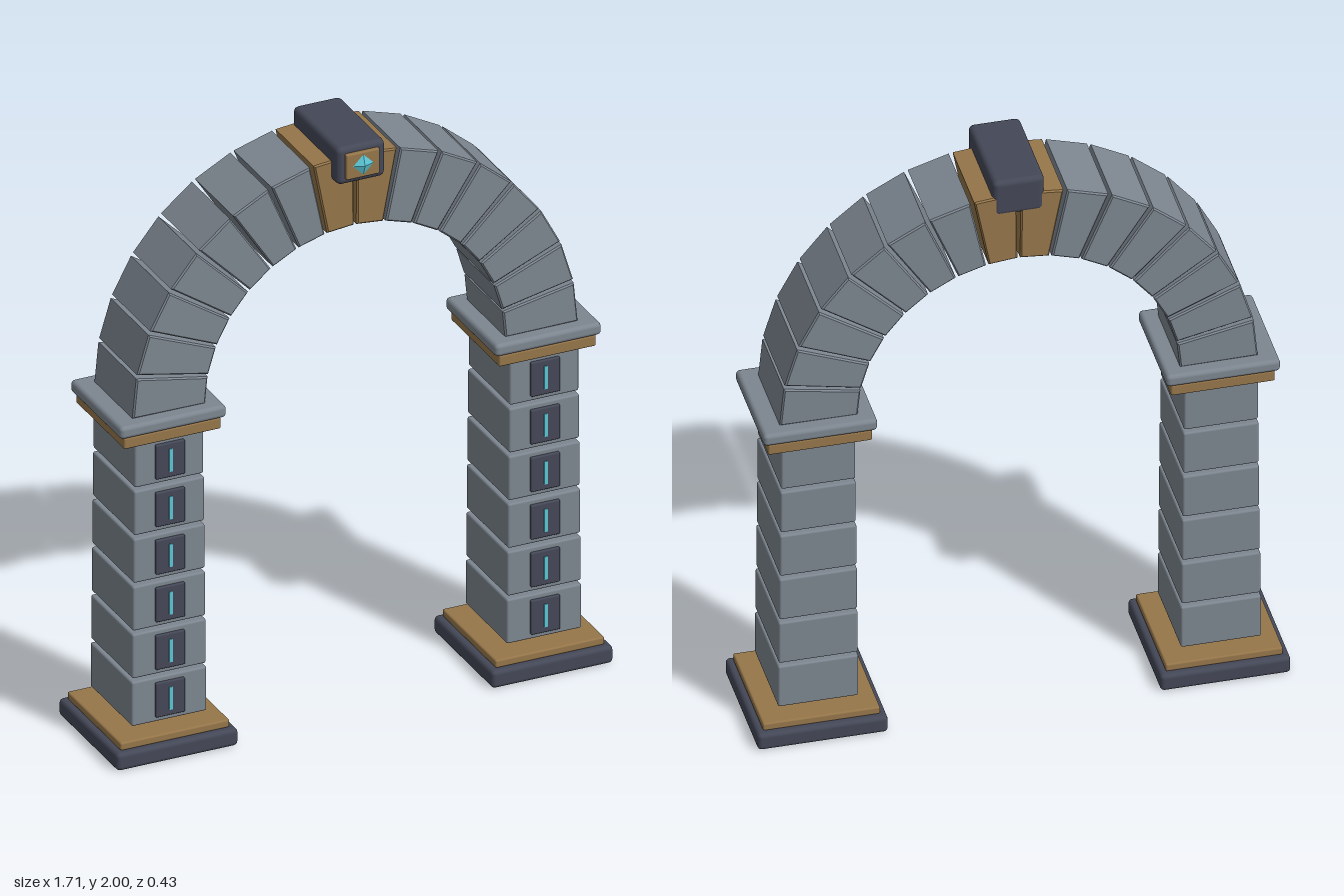
import * as THREE from 'three';
import { RoundedBoxGeometry } from 'three/addons/geometries/RoundedBoxGeometry.js';

const mat = (name, color) => new THREE.MeshStandardMaterial({ name, color });

export function createModel() {
  const stone = mat('stone grey', 0x7d8690);
  const dark = mat('dark slate', 0x444857);
  const bronze = mat('bronze', 0x96764a);
  const glow = mat('cyan glow', 0x5cc6d6);

  const model = new THREE.Group();
  model.name = 'archway';

  const add = (parent, name, geometry, material, x = 0, y = 0, z = 0) => {
    const mesh = new THREE.Mesh(geometry, material);
    mesh.name = name;
    mesh.position.set(x, y, z);
    parent.add(mesh);
    return mesh;
  };

  // Box with softened edges, placed by its bottom and top heights
  const slab = (parent, name, material, w, y0, y1, d, r, z = 0) =>
    add(parent, name, new RoundedBoxGeometry(w, y1 - y0, d, 2, r), material, 0, (y0 + y1) / 2, z);

  // Pillars: plinth, six tapering blocks with glowing panels, capital
  for (const [name, side] of [['leftPillar', 1], ['rightPillar', -1]]) {
    const pillar = new THREE.Group();
    pillar.name = name;
    pillar.position.x = side * 0.646;
    model.add(pillar);

    slab(pillar, 'plinth', dark, 0.418, 0, 0.06, 0.43, 0.014);
    slab(pillar, 'plinthTrim', bronze, 0.376, 0.06, 0.087, 0.388, 0.006);
    for (let i = 0; i < 6; i++) {
      const y = 0.112 + i * 0.1672;
      slab(pillar, 'pillarBlock', stone, 0.258 - i * 0.004, y, y + 0.155, 0.304, 0.007);
      slab(pillar, 'panel', dark, 0.1, y + 0.018, y + 0.138, 0.022, 0.004, 0.151);
      add(pillar, 'lightStrip', new THREE.BoxGeometry(0.011, 0.08, 0.006), glow, 0, y + 0.078, 0.162);
    }
    slab(pillar, 'capitalTrim', bronze, 0.334, 1.105, 1.144, 0.352, 0.006);
    slab(pillar, 'capital', stone, 0.366, 1.144, 1.187, 0.37, 0.014);
  }

  // Arch ring: sixteen wedge stones, the two at the crown in bronze
  const arch = new THREE.Group();
  arch.name = 'arch';
  arch.position.y = 1.18;
  model.add(arch);
  const count = 16, step = Math.PI / count, gap = 0.0085;
  const inner = 0.517, outer = 0.767, depth = 0.284, bevel = 0.005;
  for (let i = 0; i < count; i++) {
    const a0 = i * step + gap, a1 = (i + 1) * step - gap;
    const point = (r, a) => new THREE.Vector2(r * Math.cos(a), r * Math.sin(a));
    const wedge = new THREE.Shape([point(inner, a0), point(outer, a0), point(outer, a1), point(inner, a1)]);
    const geometry = new THREE.ExtrudeGeometry(wedge, {
      depth: depth - 2 * bevel, bevelEnabled: true, bevelSize: bevel,
      bevelThickness: bevel, bevelOffset: -bevel, bevelSegments: 1,
    });
    geometry.translate(0, 0, bevel - depth / 2);
    const crown = i === 7 || i === 8;
    add(arch, crown ? 'crownStone' : 'archStone', geometry, crown ? bronze : stone);
  }

  // Keystone: dark block with a bronze plaque and a diamond gem
  const keystone = new THREE.Group();
  keystone.name = 'keystone';
  model.add(keystone);
  slab(keystone, 'keystoneBlock', dark, 0.166, 1.87, 2, 0.33, 0.018, 0.021);
  slab(keystone, 'plaque', bronze, 0.116, 1.892, 1.98, 0.03, 0.005, 0.184);
  const gem = add(keystone, 'gem', new THREE.OctahedronGeometry(0.041), glow, 0, 1.936, 0.197);
  gem.scale.z = 0.35;

  return model;
}
